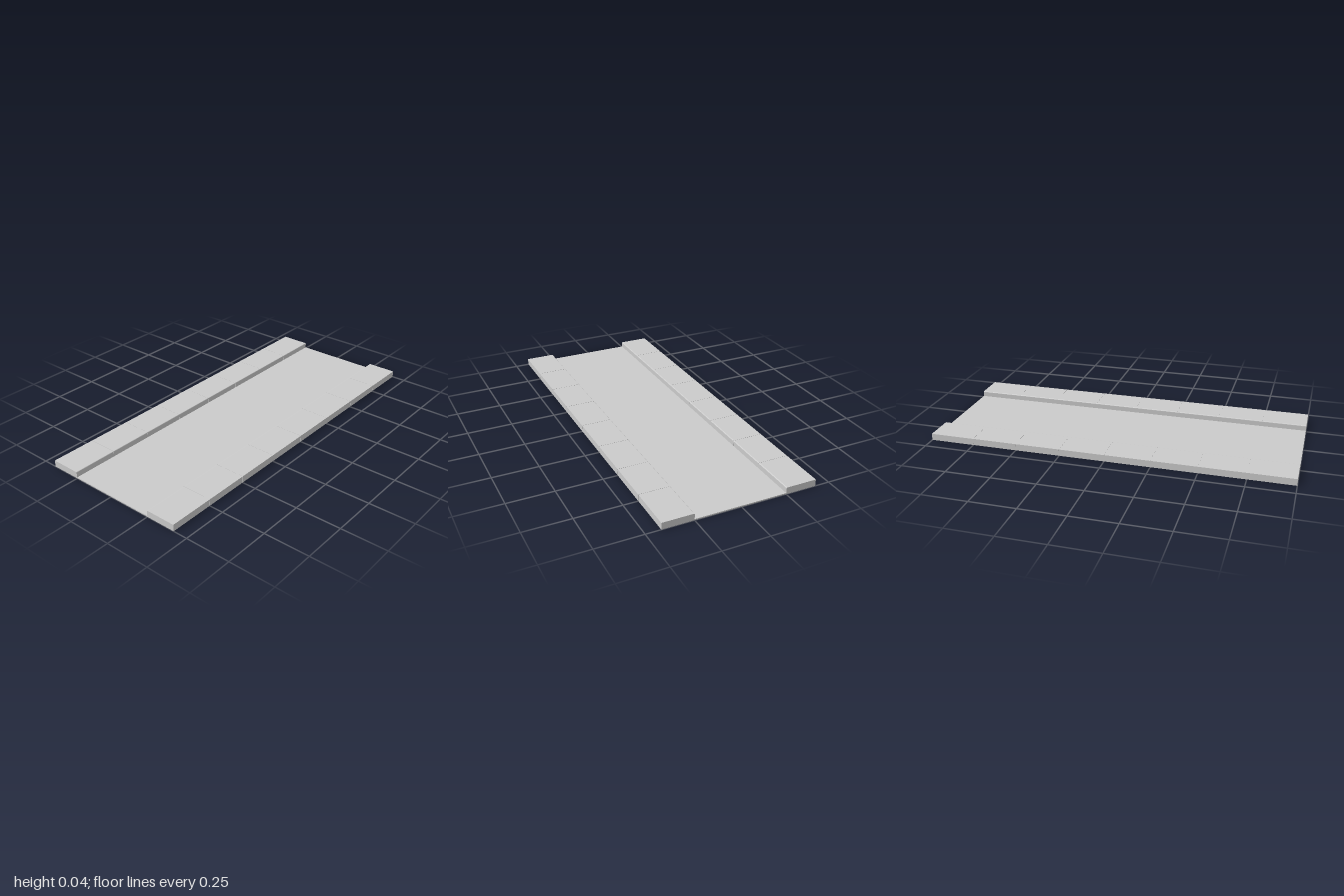
import * as THREE from 'three';

const HALF_ROAD = 0.25, HALF_WIDTH = 0.42, LENGTH = 2;
const ROAD_TOP = 0.006, WALK_TOP = 0.037;
const SLABS = 8, JOINT = 0.002, EDGE = 0.005;

// Cross-section of a pavement, rounded along the kerb edge
function pavementShape(inset) {
  const inner = HALF_ROAD + inset, outer = HALF_WIDTH - inset;
  const top = WALK_TOP - inset, bottom = inset / 2;
  const s = new THREE.Shape();
  s.moveTo(inner, bottom);
  s.lineTo(outer, bottom);
  s.lineTo(outer, top);
  s.lineTo(inner + EDGE, top);
  s.quadraticCurveTo(inner, top, inner, top - EDGE);
  s.closePath();
  return s;
}

function extrude(shape, depth) {
  const g = new THREE.ExtrudeGeometry(shape, { depth, bevelEnabled: false, curveSegments: 4 });
  return g.translate(0, 0, -depth / 2);
}

export function createModel() {
  const material = new THREE.MeshStandardMaterial({ color: 0xcccccc });
  const model = new THREE.Group();
  model.name = 'streetSection';

  const add = (parent, name, geometry, z = 0) => {
    const mesh = new THREE.Mesh(geometry, material);
    mesh.name = name;
    mesh.position.z = z;
    parent.add(mesh);
    return mesh;
  };

  // Flat carriageway
  const road = add(model, 'road', new THREE.BoxGeometry(HALF_ROAD * 2, ROAD_TOP, LENGTH));
  road.position.y = ROAD_TOP / 2;

  // Paving slabs separated by fine, shallow joints over a solid core
  const pitch = LENGTH / SLABS;
  const slab = extrude(pavementShape(0), pitch - JOINT);
  const endSlab = extrude(pavementShape(0), pitch - JOINT / 2);
  const core = extrude(pavementShape(0.001), LENGTH - 0.01);

  for (const side of ['left', 'right']) {
    const pavement = new THREE.Group();
    pavement.name = side + 'Pavement';
    if (side === 'right') pavement.rotation.y = Math.PI;
    add(pavement, 'pavementCore', core);
    for (let i = 0; i < SLABS; i++) {
      const z = -LENGTH / 2 + pitch * (i + 0.5);
      // End slabs reach right to the ends of the street
      const end = i === 0 ? -1 : i === SLABS - 1 ? 1 : 0;
      add(pavement, 'pavingSlab', end ? endSlab : slab, z + end * JOINT / 4);
    }
    model.add(pavement);
  }
  return model;
}
